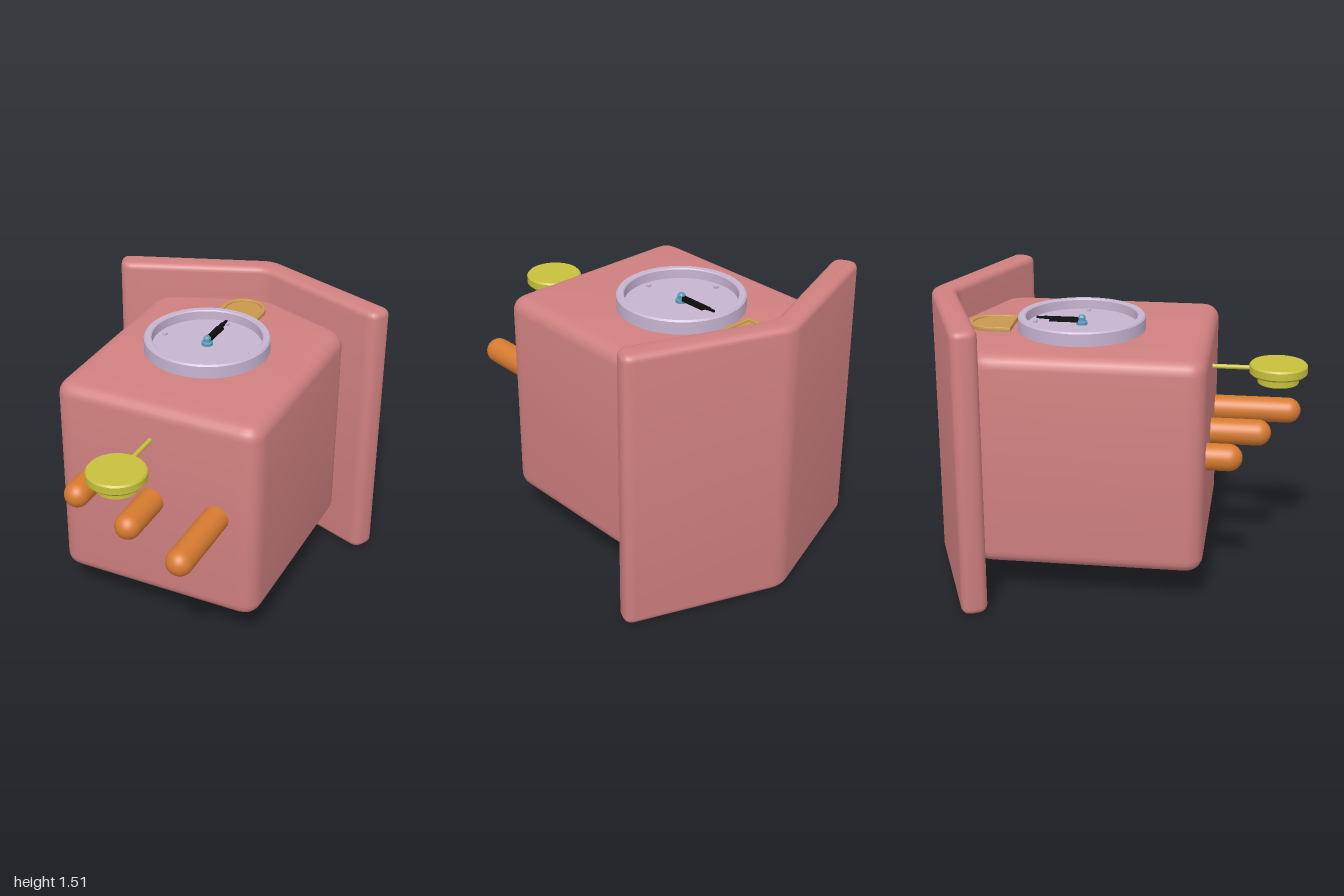
import * as THREE from 'three';
import { toCreasedNormals } from 'three/addons/utils/BufferGeometryUtils.js';

const mat = (color) => new THREE.MeshStandardMaterial({ color });
const wood = mat(0xd08080), lilac = mat(0xc6b4d0), yellow = mat(0xc8c03c), orange = mat(0xd67a30);
const tan = mat(0xc8984e), black = mat(0x0c0c0c), teal = mat(0x5a9ab8);

// Polygon with every corner rounded by cutting it back a distance r
function roundedShape(points, r) {
  const p = points.map(([x, y]) => new THREE.Vector2(x, y));
  const shape = new THREE.Shape();
  p.forEach((c, i) => {
    const toward = (q) => q.clone().sub(c).setLength(r).add(c);
    const a = toward(p[(i + p.length - 1) % p.length]);
    const b = toward(p[(i + 1) % p.length]);
    if (i === 0) shape.moveTo(a.x, a.y); else shape.lineTo(a.x, a.y);
    shape.quadraticCurveTo(c.x, c.y, b.x, b.y);
  });
  shape.closePath();
  return shape;
}

// Slab between two depths with bevelled edges kept inside the outline
function slab(shape, z0, z1, bevel) {
  const g = new THREE.ExtrudeGeometry(shape, {
    depth: z1 - z0 - 2 * bevel, bevelEnabled: bevel > 0, bevelThickness: bevel,
    bevelSize: bevel, bevelOffset: -bevel, bevelSegments: 5, curveSegments: 10,
  });
  g.translate(0, 0, z0 + bevel);
  return toCreasedNormals(g, 0.6);
}

// Turned part whose axis points out of the dial; profile is [radius, depth]
function turned(profile) {
  const g = new THREE.LatheGeometry(profile.map(([r, d]) => new THREE.Vector2(r, d)), 64);
  g.rotateX(Math.PI / 2);
  return toCreasedNormals(g, 0.6);
}

// Arch outline: straight sides and a semicircular top
function arch(path, half, y0, ySpring) {
  path.moveTo(-half, y0);
  path.lineTo(half, y0);
  path.lineTo(half, ySpring);
  path.absarc(0, ySpring, half, 0, Math.PI, false);
  path.closePath();
  return path;
}

export function createModel() {
  const model = new THREE.Group();
  // The clock is built upright (y up, dial toward +z), then laid on its back
  const clock = new THREE.Group();
  clock.name = 'cuckooClock';
  clock.rotation.x = -Math.PI / 2;
  model.add(clock);

  const add = (name, geometry, material, x = 0, y = 0, z = 0, parent = clock) => {
    const m = new THREE.Mesh(geometry, material);
    m.name = name;
    m.position.set(x, y, z);
    parent.add(m);
    return m;
  };

  // House body and gabled roof
  const house = [[-0.572, -0.5], [0.572, -0.5], [0.572, 0.69], [0, 0.91], [-0.572, 0.69]];
  add('body', slab(roundedShape(house, 0.11), 0.19, 1.33, 0.07), wood);
  const chevron = [[0, 1.005], [-0.815, 0.7], [-0.755, 0.575], [0, 0.868], [0.755, 0.575], [0.815, 0.7]];
  add('roof', slab(roundedShape(chevron, 0.06), 0, 1.515, 0.035), wood);

  // Dial with raised rim, four hour marks, hands and hub
  const face = new THREE.Group();
  face.name = 'clockFace';
  face.position.set(-0.03, 0.19, 1.33);
  clock.add(face);
  add('rim', turned([[0.293, 0], [0.335, 0], [0.335, 0.066], [0.327, 0.075], [0.299, 0.075], [0.293, 0.069], [0.293, 0]]), lilac, 0, 0, 0, face);
  add('dial', turned([[0.296, 0], [0.296, 0.02], [0, 0.02]]), lilac, 0, 0, 0, face);
  for (let i = 0; i < 4; i++) {
    const a = i * Math.PI / 2;
    const mark = add('hourMark', new THREE.BoxGeometry(0.02, 0.02, 0.012), lilac, 0.25 * Math.sin(a), 0.25 * Math.cos(a), 0.026, face);
    mark.rotation.z = -a;
  }
  add('hourHand', new THREE.BoxGeometry(0.042, 0.15, 0.01), black, -0.003, 0.095, 0.04, face);
  add('minuteHand', new THREE.BoxGeometry(0.024, 0.2, 0.01), black, 0, 0.1, 0.05, face);
  add('minuteHandTip', new THREE.BoxGeometry(0.012, 0.05, 0.01), black, 0, 0.215, 0.05, face);
  add('hub', turned([[0.03, 0.02], [0.03, 0.035], [0.02, 0.04], [0.02, 0.06], [0.012, 0.07], [0, 0.073]]), teal, 0, 0, 0, face);

  // Small arched door
  const frame = arch(new THREE.Shape(), 0.122, 0.55, 0.668);
  frame.holes.push(arch(new THREE.Path(), 0.1, 0.572, 0.668));
  add('doorFrame', slab(frame, 1.32, 1.353, 0.005), tan, -0.033);
  add('door', slab(arch(new THREE.Shape(), 0.102, 0.57, 0.668), 1.32, 1.342, 0), tan, -0.033);

  // Pendulum: rod and stepped bob
  add('pendulumRod', new THREE.CylinderGeometry(0.012, 0.012, 0.4, 16), yellow, -0.015, -0.6, 1.143);
  add('pendulumBob', turned([[0, 1.07], [0.108, 1.07], [0.108, 1.115], [0.143, 1.115], [0.152, 1.125], [0.152, 1.163], [0.144, 1.172], [0, 1.172]]), yellow, -0.015, -0.845);

  // Hanging weights: [x, bottom end]
  for (const [x, end] of [[-0.385, -0.685], [-0.015, -0.82], [0.35, -0.975]]) {
    const length = -0.35 - end;
    add('weight', new THREE.CapsuleGeometry(0.07, length - 0.14, 10, 32), orange, x, end + length / 2, 0.78);
  }
  return model;
}
